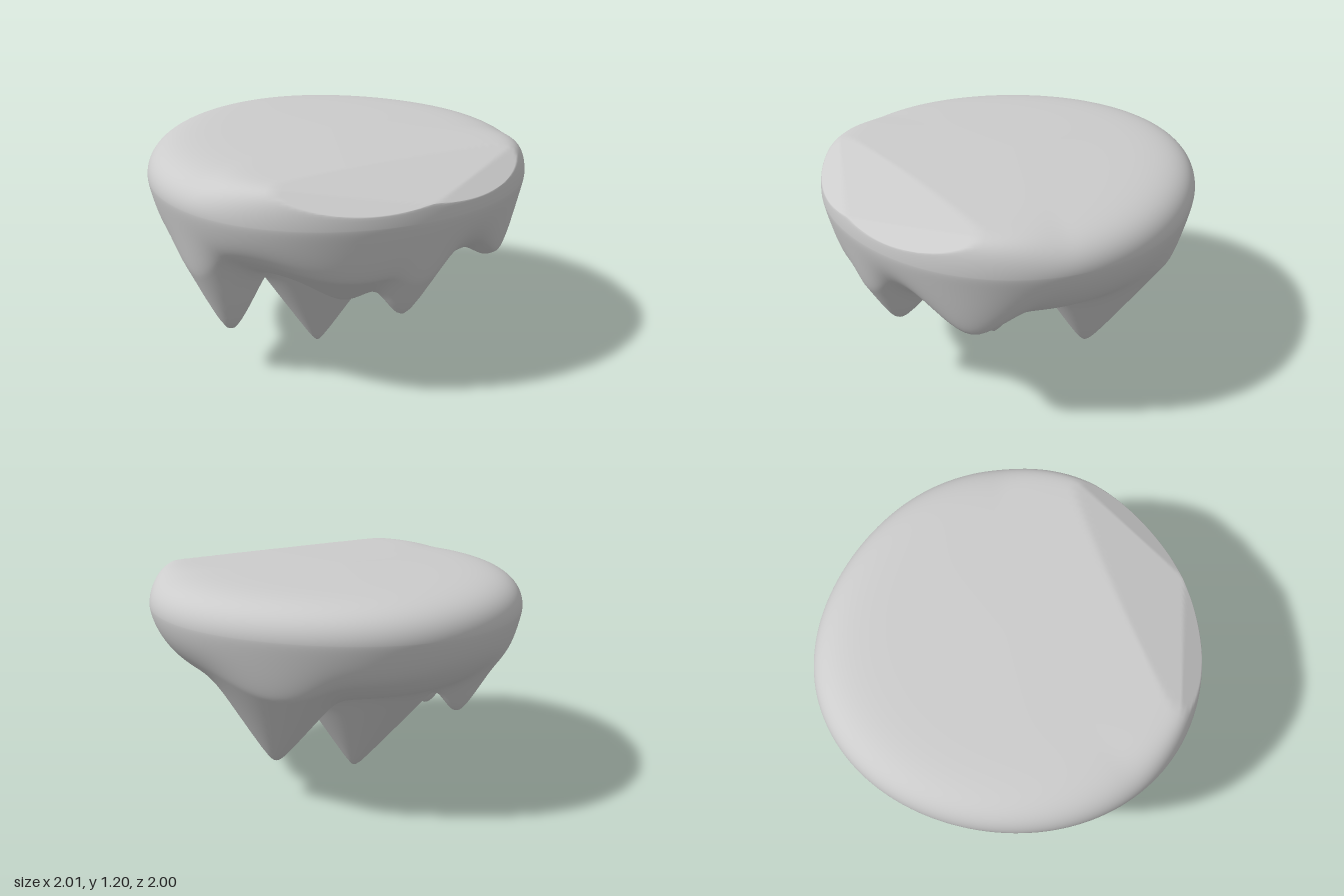
import * as THREE from 'three';

// Hanging rock points: x, z, tip height, slope, tip rounding, stretch towards the back
const SPIKES = [
  [-0.12, 0.06, 0.0, 1.55, 0.02, 0.65],
  [-0.69, 0.17, 0.25, 2.2, 0.05, 0.7],
  [0.49, -0.13, 0.21, 1.65, 0.03, 0.62],
  [0.0, 0.73, 0.41, 1.8, 0.05, 0.6],
  [0.58, 0.63, 0.59, 0.9, 0.06, 1],
  [-0.37, -0.56, 0.46, 1.8, 0.05, 1],
  [-0.2, 0.5, 0.45, 0.8, 0.08, 1],
  // shallow swellings between the long points
  [0.2, -0.05, 0.49, 0.6, 0.05, 0.7],
  [-0.43, 0.05, 0.49, 0.6, 0.05, 0.7],
];
const RINGS = 80, SEGS = 160, SOFT = 0.03;

// Outline radius: fuller at the front corners, dented at the back left
function outline(a) {
  const c = Math.cos(a), s = Math.sin(a);
  return 1 + 0.08 * s * c * c - 0.05 * Math.max(0, -c * s) ** 2 * (c > 0 ? 1 : 0);
}

// Underside: shallow bowl blended with the spikes by a soft minimum
function underside(x, z, t) {
  const bowl = 1 - 0.39 * Math.pow(1 - Math.pow(t, 5), 0.67);
  let sum = Math.exp(-bowl / SOFT);
  for (const [sx, sz, tip, slope, round, back] of SPIKES) {
    const dz = z < sz ? (z - sz) * back : z - sz;
    const d = Math.hypot(x - sx, dz, round) - round;
    sum += Math.exp(-(tip + slope * d) / SOFT);
  }
  // the rim itself stays at its own height
  return THREE.MathUtils.lerp(-SOFT * Math.log(sum), bowl, THREE.MathUtils.smoothstep(t, 0.9, 1));
}

// Upper side: nearly flat with a rounded rim and a bevel sloping to the front
function upperSide(x, z, t, s) {
  const p = 9 + 25 * THREE.MathUtils.smoothstep(s, 0.3, 0.9);
  const plateau = 1 + (0.18 + 0.02 * (1 - t)) * Math.sqrt(Math.max(0, 1 - Math.pow(t, p)));
  const beyond = Math.max(0, 0.434 * Math.abs(x) + 0.9 * z - 0.9);
  const bevel = 1.19 - 0.275 * (z - 0.6) - 0.35 * beyond;
  return Math.min(plateau, bevel);
}

export function createModel() {
  const pos = [], index = [];
  const last = 2 * RINGS;
  // Rings run from the bottom centre out to the rim and back over the top
  const addPoint = (i, a) => {
    const t = i === 0 || i === last ? 0 : Math.sin((i / last) * Math.PI);
    const r = t * outline(a), s = Math.sin(a);
    const x = r * Math.cos(a), z = r * s;
    pos.push(x, i <= RINGS ? underside(x, z, t) : upperSide(x, z, t, s), z);
  };
  addPoint(0, 0);
  for (let i = 1; i < last; i++)
    for (let j = 0; j < SEGS; j++) addPoint(i, (j / SEGS) * Math.PI * 2);
  addPoint(last, 0);

  const id = (i, j) => i === 0 ? 0 : i === last ? pos.length / 3 - 1 : 1 + (i - 1) * SEGS + (j % SEGS);
  for (let i = 0; i < last; i++)
    for (let j = 0; j < SEGS; j++) {
      const a = id(i, j), b = id(i + 1, j), c = id(i + 1, j + 1), d = id(i, j + 1);
      if (i > 0) index.push(a, b, d);
      if (i < last - 1) index.push(b, c, d);
    }

  const geometry = new THREE.BufferGeometry();
  geometry.setAttribute('position', new THREE.Float32BufferAttribute(pos, 3));
  geometry.setIndex(index);
  geometry.computeBoundingBox();
  geometry.translate(0, -geometry.boundingBox.min.y, 0);
  geometry.computeVertexNormals();

  const island = new THREE.Mesh(geometry, new THREE.MeshStandardMaterial({ color: 0xcccccc }));
  island.name = 'floatingIsland';
  const group = new THREE.Group();
  group.name = 'island';
  group.add(island);
  return group;
}
